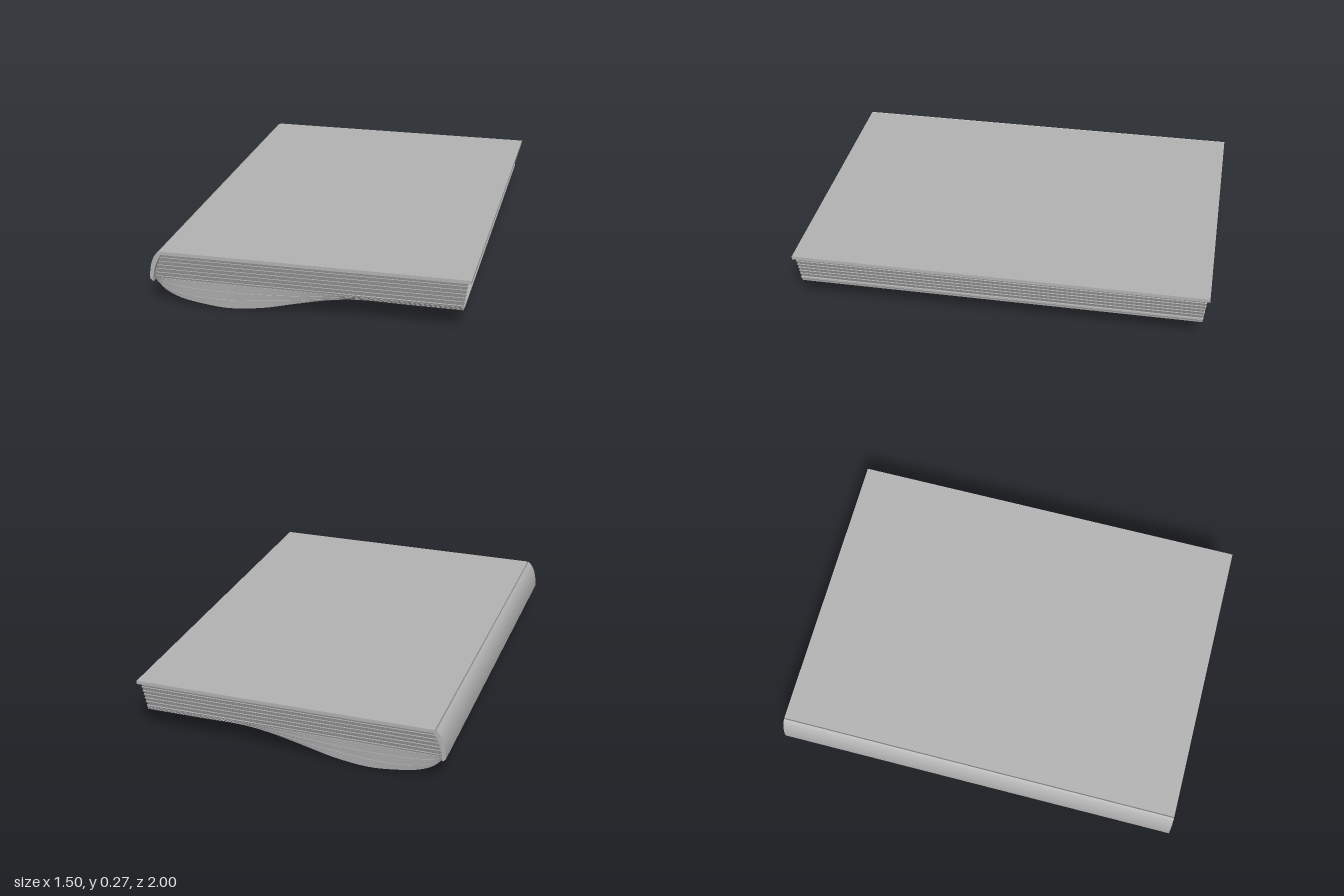
import * as THREE from 'three';
import { toCreasedNormals } from 'three/addons/utils/BufferGeometryUtils.js';

const curve = (pts) => new THREE.CatmullRomCurve3(pts.map(([x, y]) => new THREE.Vector3(x, y, 0)));

// Sheaf of paper between two side profiles, slightly narrower at the bottom
function sheafGeometry(top, bottom, zTop, zBottom, steps) {
  const pos = [], index = [];
  for (let i = 0; i <= steps; i++) {
    const a = top.getPoint(i / steps), b = bottom.getPoint(i / steps);
    pos.push(a.x, a.y, zTop, b.x, b.y, zBottom, b.x, b.y, -zBottom, a.x, a.y, -zTop);
    if (i === steps) continue;
    for (let k = 0; k < 4; k++) {
      const p = i * 4 + k, q = i * 4 + (k + 1) % 4;
      index.push(p, q, p + 4, q, q + 4, p + 4);
    }
  }
  const e = steps * 4;
  index.push(0, 3, 1, 1, 3, 2, e, e + 1, e + 3, e + 1, e + 2, e + 3);
  const g = new THREE.BufferGeometry();
  g.setAttribute('position', new THREE.Float32BufferAttribute(pos, 3));
  g.setIndex(index);
  return toCreasedNormals(g, 0.5);
}

export function createModel() {
  const book = new THREE.Group();
  book.name = 'book';
  const grey = new THREE.MeshStandardMaterial({ color: 0xb4b4b4 });
  grey.name = 'grey';
  const add = (name, geometry) => {
    const mesh = new THREE.Mesh(geometry, grey);
    mesh.name = name;
    book.add(mesh);
    return mesh;
  };

  // Flat top cover
  add('cover', new THREE.BoxGeometry(1.447, 0.017, 2)).position.set(0.0265, 0.2625, 0);

  // Rounded spine, extruded along the book's length
  const spine = new THREE.Shape();
  spine.moveTo(-0.703, 0.27);
  spine.bezierCurveTo(-0.735, 0.245, -0.75, 0.19, -0.75, 0.13);
  spine.lineTo(-0.735, 0.117);
  spine.bezierCurveTo(-0.733, 0.17, -0.718, 0.215, -0.69, 0.256);
  spine.closePath();
  const spineGeo = new THREE.ExtrudeGeometry(spine, { depth: 2, bevelEnabled: false, curveSegments: 12 });
  spineGeo.translate(0, 0, -1);
  add('spine', toCreasedNormals(spineGeo, 0.5));

  // Flat upper sheaves, stepped at the page edges
  const layers = 6, yTop = 0.254, h = 0.0198;
  const left = (y) => -0.737 + 0.043 * Math.pow((y - 0.135) / 0.119, 1.4);
  for (let i = 0; i < layers; i++) {
    const y0 = yTop - i * h, y1 = Math.max(y0 - h, 0.1352);
    const r = 0.738 - i * 0.003, z = 0.988 - i * 0.002;
    const top = curve([[left(y0), y0], [r, y0]]);
    const bottom = curve([[left(y1), y1], [r - 0.009, y1]]);
    add('upperPages' + (i + 1), sheafGeometry(top, bottom, z, z - 0.008, 1));
  }

  // Sagging lower sheaves between successive profiles
  const profiles = [
    [[-0.737, 0.135], [-0.69, 0.135], [-0.62, 0.135], [-0.5, 0.135], [-0.38, 0.135], [-0.22, 0.135], [-0.06, 0.135], [0.1, 0.135], [0.23, 0.134], [0.45, 0.134], [0.72, 0.134]],
    [[-0.737, 0.128], [-0.69, 0.126], [-0.62, 0.125], [-0.5, 0.125], [-0.38, 0.125], [-0.22, 0.125], [-0.06, 0.125], [0.1, 0.125], [0.23, 0.125], [0.45, 0.125], [0.72, 0.125]],
    [[-0.737, 0.124], [-0.69, 0.105], [-0.62, 0.093], [-0.5, 0.086], [-0.38, 0.085], [-0.22, 0.089], [-0.06, 0.099], [0.1, 0.112], [0.23, 0.12], [0.45, 0.12], [0.717, 0.12]],
    [[-0.737, 0.121], [-0.69, 0.083], [-0.62, 0.058], [-0.5, 0.045], [-0.38, 0.045], [-0.22, 0.059], [-0.06, 0.077], [0.1, 0.1], [0.23, 0.115], [0.45, 0.115], [0.716, 0.115]],
    [[-0.737, 0.118], [-0.69, 0.069], [-0.62, 0.035], [-0.5, 0.012], [-0.38, 0.003], [-0.22, 0.021], [-0.06, 0.059], [0.1, 0.094], [0.23, 0.11], [0.45, 0.11], [0.715, 0.11]],
  ].map(curve);
  for (let i = 0; i < 4; i++) {
    const z = 0.976 - i * 0.001;
    add('lowerPages' + (i + 1), sheafGeometry(profiles[i], profiles[i + 1], z, z - 0.004, 40));
  }

  book.position.y = -0.002;
  const model = new THREE.Group();
  model.name = 'bookModel';
  model.add(book);
  return model;
}
